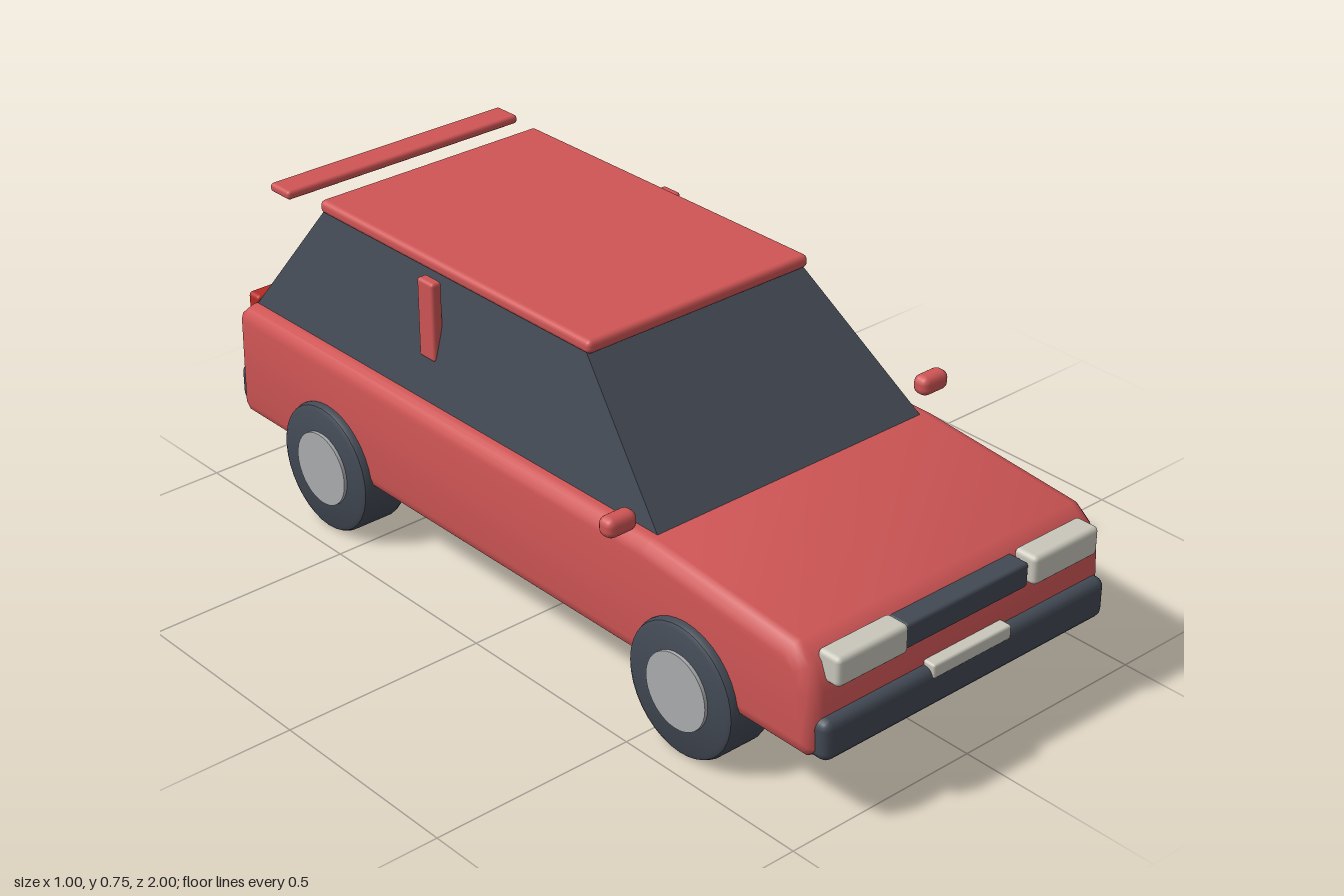
import * as THREE from 'three';
import { toCreasedNormals } from 'three/addons/utils/BufferGeometryUtils.js';
import { RoundedBoxGeometry } from 'three/addons/geometries/RoundedBoxGeometry.js';

const material = (name, color) => {
  const m = new THREE.MeshStandardMaterial({ color });
  m.name = name;
  return m;
};

export function createModel() {
  const car = new THREE.Group();
  car.name = 'car';
  const paint = material('red paint', 0xcf5555);
  const dark = material('dark glass and rubber', 0x424954);
  const metal = material('wheel metal', 0xabacae);
  const lamp = material('pale lamp', 0xc9c7bb);
  const tail = material('tail lamp red', 0xb52a25);

  const add = (name, geometry, mat) => {
    const mesh = new THREE.Mesh(geometry, mat);
    mesh.name = name;
    car.add(mesh);
    return mesh;
  };

  // Soft-edged block given by its limits on each axis
  const block = (name, mat, [x0, x1], [y0, y1], [z0, z1], radius) => {
    const mesh = add(name, new RoundedBoxGeometry(x1 - x0, y1 - y0, z1 - z0, 2, radius), mat);
    mesh.position.set((x0 + x1) / 2, (y0 + y1) / 2, (z0 + z1) / 2);
    return mesh;
  };
  const pair = (name, mat, [x0, x1], y, z, radius) => {
    block(name + 'Left', mat, [x0, x1], y, z, radius);
    block(name + 'Right', mat, [-x1, -x0], y, z, radius);
  };

  // Lower body: side profile (z, y) extruded across the width with rounded edges
  const profile = [
    [-0.953, 0.155], [0.945, 0.155], [0.975, 0.18], [0.968, 0.31], [0.945, 0.37],
    [0.90, 0.405], [0.47, 0.442], [-0.945, 0.442], [-0.972, 0.418], [-0.977, 0.18],
  ].map(p => new THREE.Vector2(...p));
  const bevel = 0.035;
  const depth = 0.86 - 2 * bevel;
  const body = new THREE.ExtrudeGeometry(new THREE.Shape(profile), {
    depth, bevelEnabled: true, bevelThickness: bevel, bevelSize: bevel,
    bevelOffset: -bevel, bevelSegments: 3,
  });
  body.translate(0, 0, -depth / 2).rotateY(-Math.PI / 2);
  add('body', toCreasedNormals(body, 0.75), paint);

  // Cabin glass: a box whose upper corners are drawn inward
  const cabin = new THREE.BoxGeometry(1, 1, 1);
  const pos = cabin.attributes.position;
  for (let i = 0; i < pos.count; i++) {
    const top = pos.getY(i) > 0;
    const front = pos.getZ(i) > 0;
    const x = Math.sign(pos.getX(i)) * (top ? 0.31 : 0.387);
    const z = front ? (top ? 0.155 : 0.475) : (top ? -0.755 : -0.947);
    pos.setXYZ(i, x, top ? 0.725 : 0.435, z);
  }
  cabin.computeVertexNormals();
  add('cabinGlass', cabin, dark);

  // Roof, rear spoiler and side pillars
  block('roof', paint, [-0.318, 0.318], [0.716, 0.748], [-0.767, 0.178], 0.013);
  block('spoiler', paint, [-0.34, 0.34], [0.72, 0.742], [-0.93, -0.855], 0.009);
  pair('pillar', paint, [0.336, 0.364], [0.53, 0.722], [-0.348, -0.292], 0.008);

  // Door mirrors
  pair('mirror', paint, [0.418, 0.498], [0.459, 0.506], [0.405, 0.45], 0.018);

  // Front face
  pair('headlight', lamp, [0.184, 0.382], [0.325, 0.394], [0.93, 0.993], 0.012);
  block('grille', dark, [-0.18, 0.18], [0.323, 0.382], [0.92, 0.98], 0.008);
  block('frontBumper', dark, [-0.415, 0.415], [0.16, 0.257], [0.93, 0.997], 0.022);
  block('frontPlate', lamp, [-0.115, 0.115], [0.234, 0.268], [0.965, 1.0], 0.006);

  // Rear face
  pair('tailLight', tail, [0.205, 0.382], [0.39, 0.455], [-0.988, -0.945], 0.01);
  block('rearBumper', dark, [-0.415, 0.415], [0.175, 0.272], [-0.997, -0.93], 0.022);
  block('rearPlate', lamp, [-0.115, 0.115], [0.25, 0.288], [-1.0, -0.965], 0.006);

  // Wheels: tyre lathed about its axle, with a raised hub disc outside
  const tyreProfile = [
    [0, -0.063], [0.144, -0.063], [0.154, -0.058], [0.158, -0.048],
    [0.158, 0.048], [0.154, 0.058], [0.144, 0.063], [0, 0.063],
  ].map(p => new THREE.Vector2(...p));
  const tyre = toCreasedNormals(new THREE.LatheGeometry(tyreProfile, 36).rotateZ(Math.PI / 2), 0.6);
  const hub = new THREE.CylinderGeometry(0.09, 0.09, 0.02, 36).rotateZ(Math.PI / 2);
  for (const [end, z] of [['front', 0.605], ['rear', -0.617]]) {
    for (const [side, s] of [['Left', 1], ['Right', -1]]) {
      add(end + 'Tyre' + side, tyre, dark).position.set(s * 0.388, 0.158, z);
      add(end + 'Hub' + side, hub, metal).position.set(s * 0.449, 0.16, z);
    }
  }

  return car;
}
